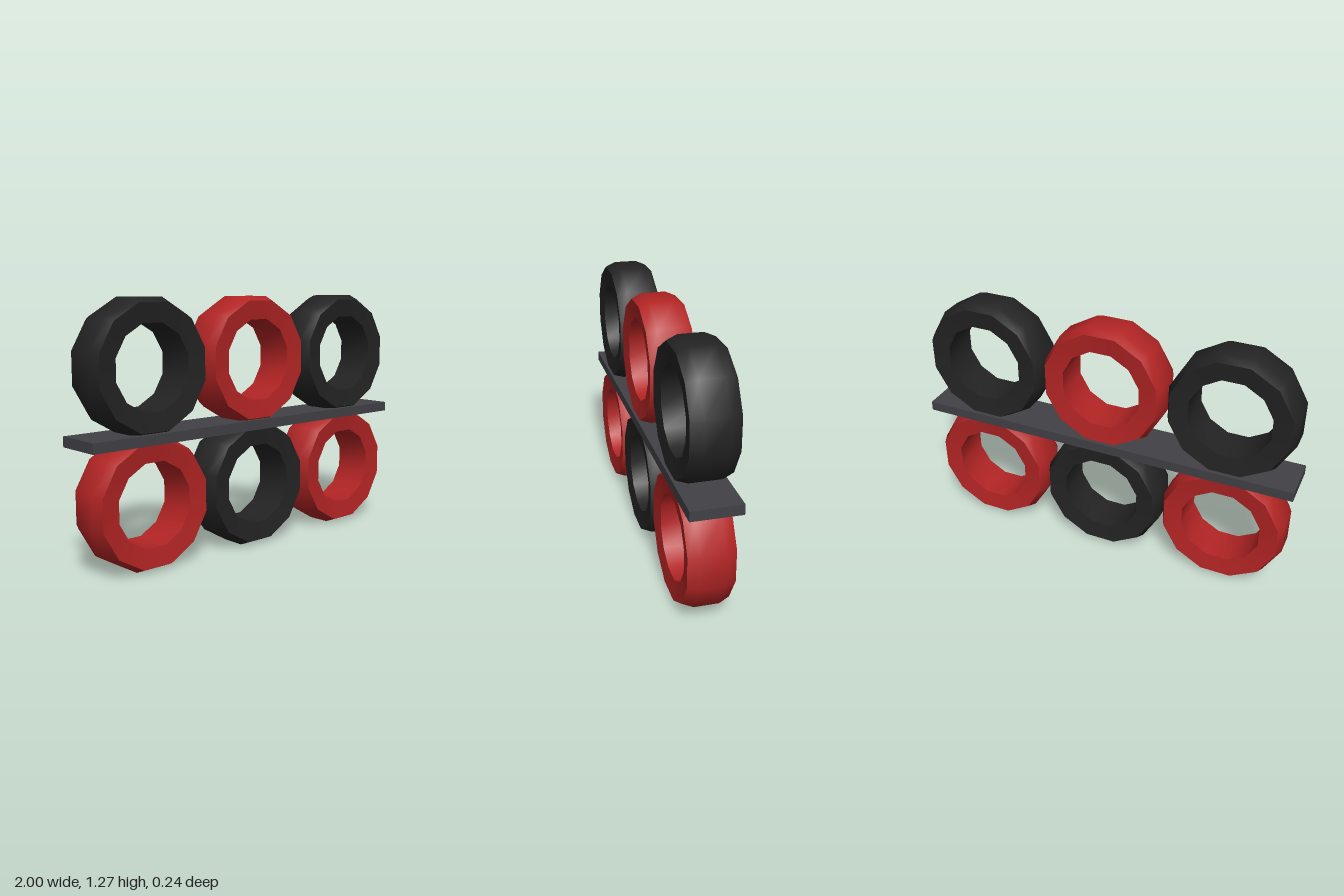
import * as THREE from 'three';
import { toCreasedNormals } from 'three/addons/utils/BufferGeometryUtils.js';

const mat = (name, color) => {
  const m = new THREE.MeshStandardMaterial({ color });
  m.name = name;
  return m;
};

// Twelve-sided tyre with a chamfered tread and slightly dished sidewalls, facing z
function tyreGeometry() {
  const profile = [
    [0.209, -0.1], [0.305, -0.112], [0.328, -0.06],
    [0.328, 0.06], [0.305, 0.112], [0.209, 0.1], [0.209, -0.1],
  ].map(([r, y]) => new THREE.Vector2(r, y));
  const geo = new THREE.LatheGeometry(profile, 12, Math.PI / 12);
  geo.rotateX(Math.PI / 2);
  return toCreasedNormals(geo, 0.7);
}

export function createModel() {
  const group = new THREE.Group();
  group.name = 'tyreBarrier';
  const red = mat('red rubber', 0xb22424);
  const black = mat('black rubber', 0x232323);
  const grey = mat('dark grey board', 0x414146);

  // Two rows of three tyres in alternating colours
  const geo = tyreGeometry();
  ['lower', 'upper'].forEach((row, j) => {
    ['Right', 'Middle', 'Left'].forEach((side, i) => {
      const tyre = new THREE.Mesh(geo, (i + j) % 2 ? black : red);
      tyre.name = `${row}${side}Tyre`;
      tyre.position.set((i - 1) * 0.656, 0.317 + j * 0.637, 0);
      group.add(tyre);
    });
  });

  // Board between the rows
  const board = new THREE.Mesh(new THREE.BoxGeometry(2, 0.05, 0.244), grey);
  board.name = 'board';
  board.position.y = 0.627;
  group.add(board);

  return group;
}
